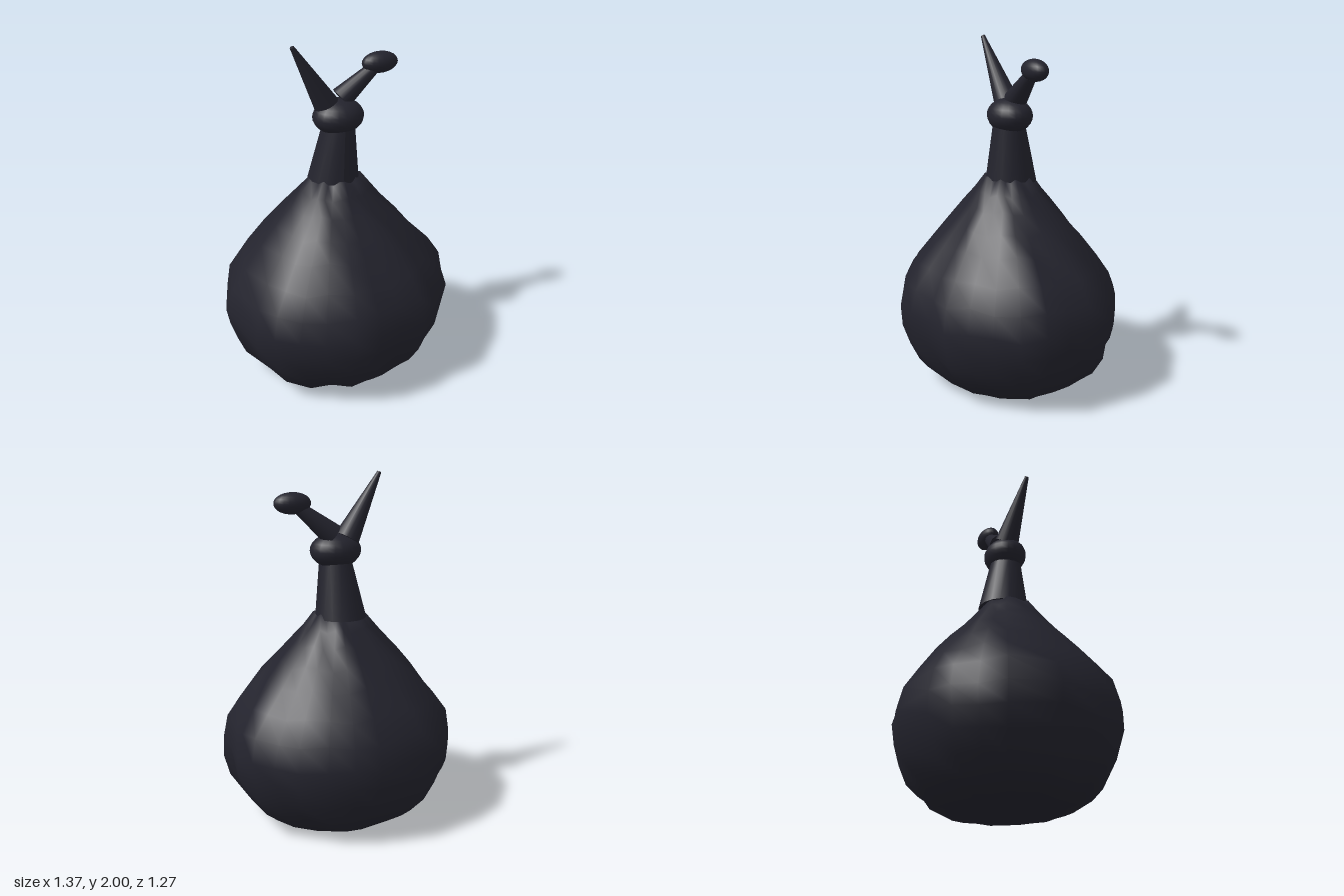
import * as THREE from 'three';
import { mergeVertices } from 'three/addons/utils/BufferGeometryUtils.js';

const cloth = new THREE.MeshStandardMaterial({ color: 0x23232d });
cloth.name = 'dark cloth';

// uneven outline of the sack at its widest, as x,z pairs from front towards +x
const outline = [
  [0, .62], [.15, .58], [.31, .565], [.42, .47], [.53, .375], [.62, .26], [.68, .13],
  [.66, -.02], [.67, -.16], [.62, -.3], [.52, -.4], [.42, -.49], [.28, -.57], [.14, -.61],
  [0, -.632], [-.3, -.56], [-.43, -.49], [-.53, -.38], [-.61, -.26], [-.685, 0],
  [-.61, .28], [-.54, .41], [-.43, .5], [-.3, .56], [-.14, .628],
];

// height and relative width of each ring, bottom to top
const rings = [
  [0, 0], [0, .35], [0, .58], [.07, .74], [.15, .85], [.26, .94], [.37, .985], [.48, 1],
  [.61, .95], [.73, .83], [.86, .67], [.96, .54], [1.06, .4], [1.14, .3], [1.21, .215], [1.24, 0],
];

function add(group, name, geometry) {
  const mesh = new THREE.Mesh(geometry, cloth);
  mesh.name = name;
  group.add(mesh);
  return mesh;
}

// lathe whose rings follow the outline, with slight lumps
function sackGeometry() {
  const n = outline.length;
  const geo = new THREE.LatheGeometry(rings.map(([y, s]) => new THREE.Vector2(s, y)), n);
  const pos = geo.attributes.position;
  for (let i = 0; i <= n; i++) {
    const [x, z] = outline[i % n];
    rings.forEach(([y, s], j) => {
      const lump = s * (1 + .012 * Math.sin((i % n) * 2.7 + j * 1.9));
      const lift = y > 0 && s > 0 ? .012 * Math.sin((i % n) * 2.1 + j) : 0;
      pos.setXYZ(i * rings.length + j, x * lump, y + lift, z * lump);
    });
  }
  geo.deleteAttribute('normal');
  geo.deleteAttribute('uv');
  const smooth = mergeVertices(geo, 1e-5);
  smooth.computeVertexNormals();
  return smooth;
}

// tapered rod between two points
function addTaper(group, name, from, to, r0, r1) {
  const a = new THREE.Vector3(...from), b = new THREE.Vector3(...to);
  const axis = b.clone().sub(a);
  const mesh = add(group, name, new THREE.CylinderGeometry(r1, r0, axis.length(), 16));
  mesh.position.copy(a).add(b).multiplyScalar(.5);
  mesh.quaternion.setFromUnitVectors(new THREE.Vector3(0, 1, 0), axis.normalize());
  return mesh;
}

function addEllipsoid(group, name, center, radii) {
  const mesh = add(group, name, new THREE.SphereGeometry(1, 20, 14));
  mesh.position.set(...center);
  mesh.scale.set(...radii);
  return mesh;
}

export function createModel() {
  const model = new THREE.Group();
  model.name = 'tiedSack';

  add(model, 'sack', sackGeometry());

  // gathered neck, leaning slightly
  const neck = new THREE.CylinderGeometry(.092, .148, .33, 18);
  const p = neck.attributes.position;
  for (let i = 0; i < p.count; i++) {
    const t = (p.getY(i) + .165) / .33;
    p.setX(i, p.getX(i) - .005 + .023 * t);
    p.setZ(i, p.getZ(i) - .02 + .025 * t);
  }
  neck.computeVertexNormals();
  add(model, 'neck', neck).position.y = 1.355;

  // knot with a pointed end and a rounded end
  addEllipsoid(model, 'knot', [.018, 1.57, 0], [.148, .1, .124]);
  addTaper(model, 'pointedEnd', [-.045, 1.635, -.015], [-.257, 1.993, .025], .072, .012);
  addTaper(model, 'roundedEndStem', [.045, 1.66, -.022], [.23, 1.81, -.01], .066, .036);
  addEllipsoid(model, 'roundedEnd', [.273, 1.842, -.01], [.107, .06, .06]);

  return model;
}
